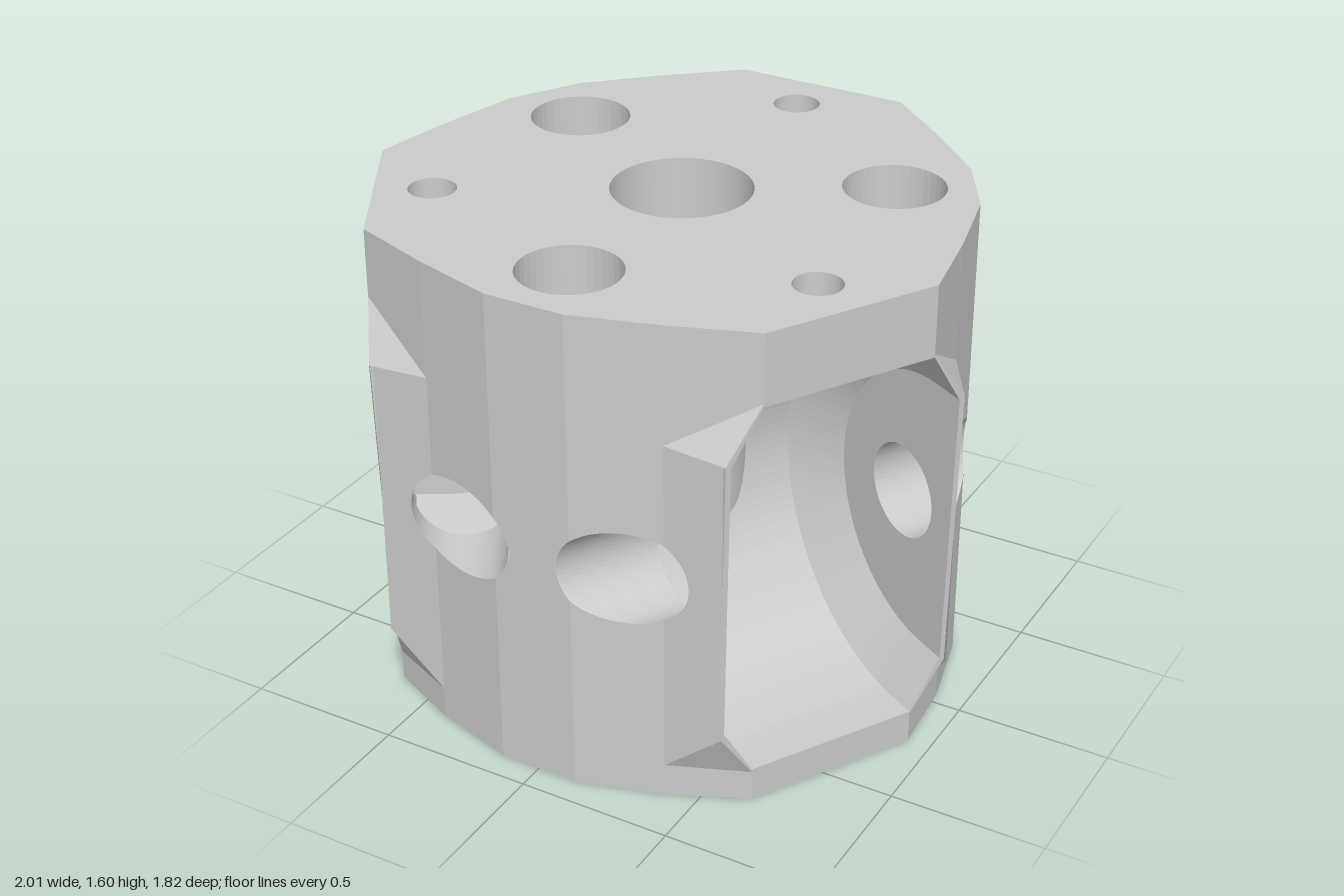
import * as THREE from 'three';

const H = 1.6, CY = 0.74;                       // block height, mid height of wheel wells
const WELL = { c: 0.81, R: 0.63, r: 0.46, w: 0.287, W: 0.388 };
const TIP = 0.405, TIP_LO = 0.27, TIP_HI = 1.21; // ear tips beside each opening
const AXLE = { d: 0.67, y: 0.76, r: 0.153 };
const BORE = 0.22, LOBE_HOLE = { d: 0.645, r: 0.16 }, SCREW = { d: 0.755, r: 0.075 };
const S = Math.sin(Math.PI / 3);
const V = (x, y, z) => new THREE.Vector3(x, y, z);
const steps = (n, f) => Array.from({ length: n + 1 }, (_, i) => f(i / n));
const faceD = y => 0.902 + 0.031 * THREE.MathUtils.clamp((y - 0.1) / 1.28, 0, 1);
// lobe frame (u across, v outward) to well frame (x outward, z across)
const lobe = (u, v, y) => V(S * u + 0.5 * v, y, -0.5 * u + S * v);

const material = new THREE.MeshStandardMaterial({
  color: 0xcccccc, flatShading: true, side: THREE.DoubleSide,
});

// Surface between pairs of matching rows of points
function ribbons(name, pairs) {
  const pos = [];
  for (const [a, b] of pairs) {
    for (let i = 0; i + 1 < a.length; i++) {
      for (const p of [a[i], b[i], b[i + 1], a[i], b[i + 1], a[i + 1]]) pos.push(p.x, p.y, p.z);
    }
  }
  const g = new THREE.BufferGeometry();
  g.setAttribute('position', new THREE.Float32BufferAttribute(pos, 3));
  g.computeVertexNormals();
  const m = new THREE.Mesh(g, material);
  m.name = name;
  return m;
}

function circle(x, y, r) {
  return new THREE.Path().absarc(x, y, r, 0, Math.PI * 2, true);
}

// Open round bore along y
function bore(name, x, z, r, y0, y1) {
  const m = new THREE.Mesh(new THREE.CylinderGeometry(r, r, y1 - y0, 40, 1, true), material);
  m.position.set(x, (y0 + y1) / 2, z);
  m.name = name;
  return m;
}

// Half of the lobe outline, from ear tip to its middle, in the lobe frame
const tipU = d => S * d - 0.5 * TIP, tipV = d => 0.5 * d + S * TIP;
const BASE = [0.4, 0.81], NOSE = [0.13, 0.89];

// Half height of the axle hole where it breaks out at an outline point
function axleGap(u, v) {
  const e = S * Math.abs(u) + 0.5 * v - AXLE.d;
  return Math.sqrt(Math.max(0, AXLE.r ** 2 - e * e));
}

// End of the axle hole at distance d from the centre
function axleEnd(d) {
  const pts = [[tipU(0.92), tipV(0.92)], BASE, NOSE, [-NOSE[0], NOSE[1]]].map(p => lobe(p[0], p[1], 0));
  for (let i = 0; i < 3; i++) {
    const a = pts[i], b = pts[i + 1];
    if (d <= a.x && d >= b.x) return a.z + (b.z - a.z) * (a.x - d) / (a.x - b.x);
  }
  return WELL.W;
}

// Rounded outside between two wells, with ears and axle hole breakouts
function makeLobe() {
  const pairs = [];
  const wall = (a, b, n, lo, hi) => {
    const cols = steps(n, k => {
      const u = a[0] + (b[0] - a[0]) * k, v = a[1] + (b[1] - a[1]) * k, g = axleGap(u, v);
      return [lo, AXLE.y - g, AXLE.y + g, hi].map(y => lobe(u, v, typeof y === 'number' ? y : y[0] + (y[1] - y[0]) * k));
    });
    pairs.push([cols.map(c => c[0]), cols.map(c => c[1])], [cols.map(c => c[2]), cols.map(c => c[3])]);
  };
  wall([-NOSE[0], NOSE[1]], NOSE, 24, 0, H);
  for (const s of [1, -1]) {
    const L = (u, v, y) => lobe(s * u, v, y);
    const corner = y => {
      const d = faceD(y);
      return L(S * d - 0.5 * WELL.w, 0.5 * d + S * WELL.w, y);
    };
    const base = y => L(BASE[0], BASE[1], y);
    const tip = y => L(tipU(faceD(y)), tipV(faceD(y)), y);
    wall([s * NOSE[0], NOSE[1]], [s * BASE[0], BASE[1]], 40, 0, H);
    const dm = faceD(CY);
    wall([s * BASE[0], BASE[1]], [s * tipU(dm), tipV(dm)], 32, [0.11, TIP_LO], [1.22, TIP_HI]);
    // faces above and below the ear, then its sloping ends
    pairs.push([[base(1.22), base(H)], [corner(1.38), corner(H)]]);
    pairs.push([[base(0), base(0.11)], [corner(0), corner(0.1)]]);
    pairs.push([[base(1.22), base(1.22)], [tip(TIP_HI), corner(1.38)]]);
    pairs.push([[base(0.11), base(0.11)], [tip(TIP_LO), corner(0.1)]]);
  }
  return ribbons('lobe', pairs);
}

// Wheel well: bevelled drum lying across, straight out to the opening
function makeWell() {
  const g = new THREE.Group();
  g.name = 'wheelWell';
  const row = (rad, tOf) => {
    const arc = steps(64, k => {
      const a = Math.PI * (0.5 + k);
      return [WELL.c + rad * Math.cos(a), CY + rad * Math.sin(a)];
    });
    const all = [[faceD(CY + rad), CY + rad], ...arc, [faceD(CY - rad), CY - rad]];
    return all.map(([d, y]) => V(d, y, tOf(d)));
  };
  const gap = d => Math.sqrt(Math.max(0, BORE * BORE - d * d));
  const pairs = [];
  for (const s of [1, -1]) {
    pairs.push([row(WELL.R, d => s * gap(d)), row(WELL.R, () => s * WELL.w)]);
    pairs.push([row(WELL.R, () => s * WELL.w), row(WELL.r, () => s * WELL.W)]);
  }
  g.add(ribbons('wellDrum', pairs));

  // Rim of the opening and the flat bands above and below it
  const F = (t, y) => V(faceD(y), y, t);
  const rim = [];
  for (const s of [1, -1]) {
    const w = s * WELL.w;
    rim.push([
      [F(0, 1.38), F(w, 1.38), F(s * TIP, TIP_HI), F(s * TIP, TIP_LO), F(w, 0.1), F(0, 0.1)],
      [F(0, CY + WELL.R), F(w, CY + WELL.R), F(s * WELL.W, CY + WELL.r),
        F(s * WELL.W, CY - WELL.r), F(w, CY - WELL.R), F(0, CY - WELL.R)],
    ]);
  }
  for (const [a, b] of [[0, 0.1], [1.38, H]]) {
    rim.push([[F(-WELL.w, a), F(WELL.w, a)], [F(-WELL.w, b), F(WELL.w, b)]]);
  }
  g.add(ribbons('openingRim', rim));

  // Side walls pierced by the axle hole
  const shape = new THREE.Shape();
  shape.moveTo(faceD(CY - WELL.r), CY - WELL.r);
  shape.lineTo(faceD(CY + WELL.r), CY + WELL.r);
  shape.absarc(WELL.c, CY, WELL.r, Math.PI / 2, Math.PI * 1.5, false);
  shape.holes.push(circle(AXLE.d, AXLE.y, AXLE.r));
  for (const s of [1, -1]) {
    const side = new THREE.Mesh(new THREE.ShapeGeometry(shape, 32), material);
    side.position.z = s * WELL.W;
    side.name = 'wellSide';
    const ring = tOf => steps(64, k => {
      const a = k * Math.PI * 2, d = AXLE.d + AXLE.r * Math.cos(a);
      return V(d, AXLE.y + AXLE.r * Math.sin(a), s * tOf(d));
    });
    g.add(side, ribbons('axleHole', [[ring(() => WELL.W), ring(axleEnd)]]));
  }
  return g;
}

// Central bore, opened where the three wells cut into it
function makeCentreBore() {
  const cols = steps(96, k => {
    const a = k * Math.PI * 2;
    let gap = 0;
    for (let i = 0; i < 3; i++) {
      const e = WELL.c - BORE * Math.cos(a - Math.PI / 6 - i * Math.PI * 2 / 3);
      gap = Math.max(gap, Math.sqrt(Math.max(0, WELL.R ** 2 - e * e)));
    }
    return [0, CY - gap, CY + gap, H].map(y => V(BORE * Math.cos(a), y, BORE * Math.sin(a)));
  });
  const c = i => cols.map(p => p[i]);
  return ribbons('centreBore', [[c(0), c(1)], [c(2), c(3)]]);
}

// Flat end faces with their holes; s is 1 for the top, -1 for the bottom
function makeCap(name, y, s) {
  const pts = [], holes = [circle(0, 0, BORE)];
  for (let i = 0; i < 3; i++) {
    const a = Math.PI / 6 + i * Math.PI * 2 / 3, ca = Math.cos(a), sa = Math.sin(a);
    const to = (d, t) => new THREE.Vector2(d * ca - t * sa, -s * (d * sa + t * ca));
    pts.push(to(faceD(y), -WELL.w), to(faceD(y), WELL.w));
    for (const [u, v] of [BASE, NOSE, [-NOSE[0], NOSE[1]], [-BASE[0], BASE[1]]]) {
      const p = lobe(u, v, 0);
      pts.push(to(p.x, p.z));
    }
    const h = to(LOBE_HOLE.d / 2, LOBE_HOLE.d * S), k = to(SCREW.d, 0);
    holes.push(circle(h.x, h.y, LOBE_HOLE.r));
    if (s > 0) holes.push(circle(k.x, k.y, SCREW.r));
  }
  const shape = new THREE.Shape(pts);
  shape.holes = holes;
  const m = new THREE.Mesh(new THREE.ShapeGeometry(shape, 40), material);
  m.rotation.x = -s * Math.PI / 2;
  m.position.y = y;
  m.name = name;
  return m;
}

export function createModel() {
  const hub = new THREE.Group();
  hub.name = 'wheelHub';
  for (let i = 0; i < 3; i++) {
    const sector = new THREE.Group();
    sector.name = 'sector';
    const floor = new THREE.Mesh(new THREE.CircleGeometry(SCREW.r, 32).rotateX(-Math.PI / 2), material);
    floor.position.set(SCREW.d, 1.42, 0);
    floor.name = 'screwHoleFloor';
    sector.add(
      makeWell(), makeLobe(), floor,
      bore('screwHole', SCREW.d, 0, SCREW.r, 1.42, H),
      bore('lobeHole', LOBE_HOLE.d / 2, LOBE_HOLE.d * S, LOBE_HOLE.r, 0, H),
    );
    sector.rotation.y = -Math.PI / 6 - i * Math.PI * 2 / 3;
    hub.add(sector);
  }
  hub.add(makeCentreBore(), makeCap('topFace', H, 1), makeCap('bottomFace', 0, -1));
  hub.position.z = 0.02;
  const model = new THREE.Group();
  model.add(hub);
  return model;
}
